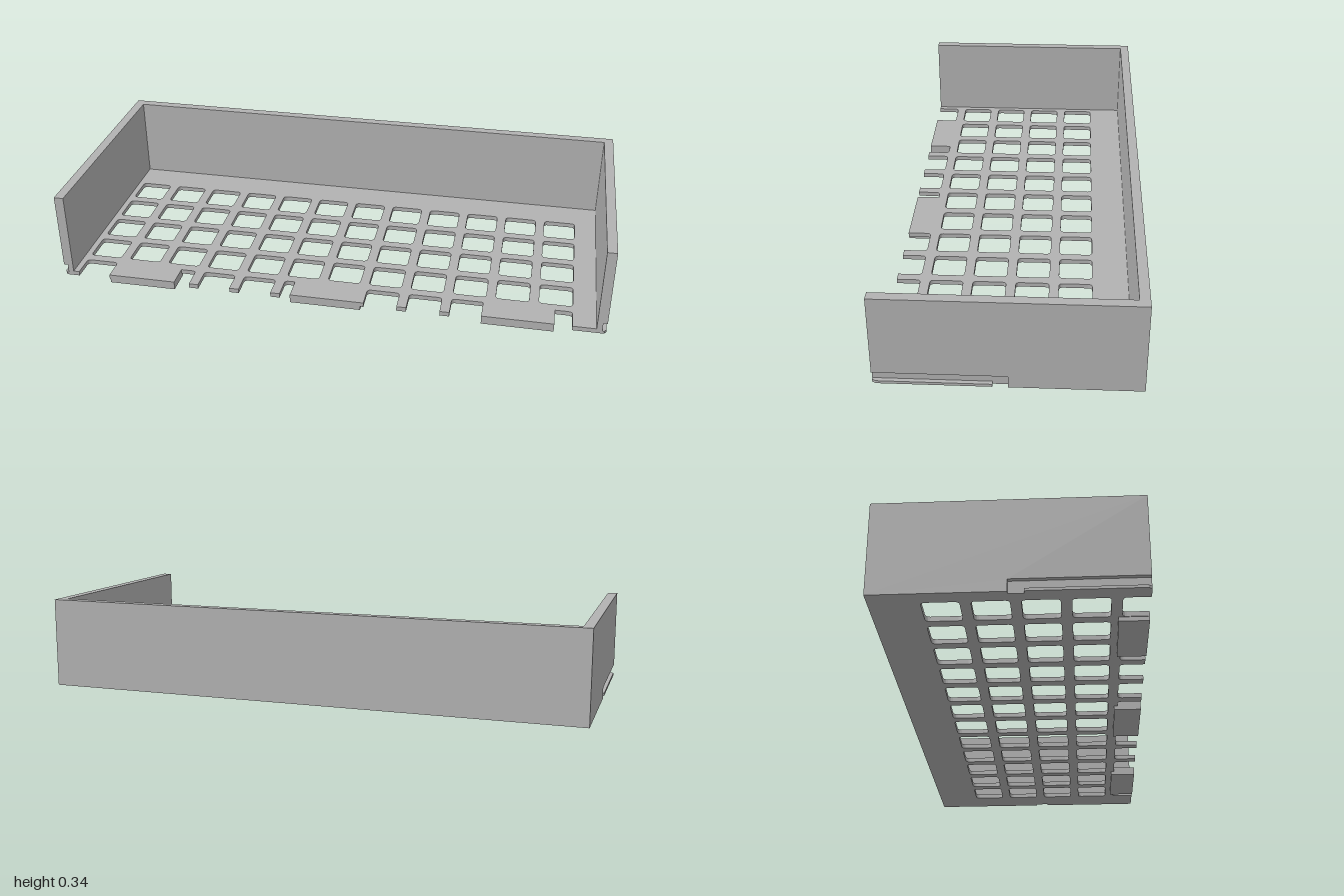
import * as THREE from 'three';

export function createModel() {
  const root = new THREE.Group();
  root.name = 'openTray';
  const grey = new THREE.MeshStandardMaterial({ color: 0xb2b2b2 });
  grey.name = 'plainGrey';

  const add = (name, geometry) => {
    const mesh = new THREE.Mesh(geometry, grey);
    mesh.name = name;
    root.add(mesh);
    return mesh;
  };
  // box given by its lower and upper limits on each axis
  const box = (name, x0, x1, y0, y1, z0, z1) => {
    const mesh = add(name, new THREE.BoxGeometry(x1 - x0, y1 - y0, z1 - z0));
    mesh.position.set((x0 + x1) / 2, (y0 + y1) / 2, (z0 + z1) / 2);
    return mesh;
  };

  const FRONT = 0.435, BASE = 0.015, FLOOR = 0.032, TOP = 0.345;
  const INNER = 0.965, GROOVE = 0.985;
  const COLS = 12, PITCH = 0.155, HOLE = 0.12, R = 0.015;
  const colX = i => -0.943 + i * PITCH;
  const rowZ = j => -0.271 + j * PITCH;

  // floor outline, with a row of open notches along the front edge
  const floor = new THREE.Shape();
  floor.moveTo(-INNER, -FRONT);
  floor.lineTo(INNER, -FRONT);
  floor.lineTo(INNER, FRONT);
  const notchZ = rowZ(4);
  for (let i = COLS - 1; i >= 0; i--) {
    const a = colX(i), b = a + HOLE;
    floor.lineTo(b, FRONT);
    floor.lineTo(b, notchZ + R);
    floor.quadraticCurveTo(b, notchZ, b - R, notchZ);
    floor.lineTo(a + R, notchZ);
    floor.quadraticCurveTo(a, notchZ, a, notchZ + R);
    floor.lineTo(a, FRONT);
  }
  floor.lineTo(-INNER, FRONT);
  floor.closePath();

  // grid of rounded square holes
  for (let j = 0; j < 4; j++) {
    for (let i = 0; i < COLS; i++) {
      const a = colX(i), b = a + HOLE, c = rowZ(j), d = c + HOLE;
      const hole = new THREE.Path();
      hole.moveTo(a + R, c);
      hole.lineTo(b - R, c);
      hole.quadraticCurveTo(b, c, b, c + R);
      hole.lineTo(b, d - R);
      hole.quadraticCurveTo(b, d, b - R, d);
      hole.lineTo(a + R, d);
      hole.quadraticCurveTo(a, d, a, d - R);
      hole.lineTo(a, c + R);
      hole.quadraticCurveTo(a, c, a + R, c);
      floor.holes.push(hole);
    }
  }
  const floorMesh = add('floorGrid', new THREE.ExtrudeGeometry(floor,
    { depth: FLOOR - BASE, bevelEnabled: false, curveSegments: 4 }));
  floorMesh.rotation.x = Math.PI / 2;
  floorMesh.position.y = FLOOR;

  // back wall
  box('backWall', -INNER, INNER, BASE, TOP, -FRONT, -0.4);

  // side walls: inner slab, outer skin with the rail groove cut out, and lip
  const skin = new THREE.Shape([
    [-FRONT, BASE], [0, BASE], [0, 0.058], [FRONT, 0.058], [FRONT, TOP], [-FRONT, TOP],
  ].map(([z, y]) => new THREE.Vector2(z, y)));
  const skinGeometry = new THREE.ExtrudeGeometry(skin, { depth: 1 - GROOVE, bevelEnabled: false });
  for (const [side, s] of [['left', 1], ['right', -1]]) {
    const x0 = s > 0 ? INNER : -GROOVE;
    box(side + 'WallInner', x0, x0 + GROOVE - INNER, BASE, TOP, -FRONT, FRONT);
    const outer = add(side + 'WallOuter', skinGeometry);
    outer.rotation.y = -Math.PI / 2;
    outer.position.x = s > 0 ? 1 : -GROOVE;
    // rail lip with a chamfered front corner
    const lip = new THREE.Shape();
    lip.moveTo(s * GROOVE, 0.05);
    lip.lineTo(s, 0.05);
    lip.lineTo(s, FRONT - 0.012);
    lip.lineTo(s * (1 - 0.008), FRONT);
    lip.lineTo(s * GROOVE, FRONT);
    lip.closePath();
    const lipMesh = add(side + 'RailLip',
      new THREE.ExtrudeGeometry(lip, { depth: 0.01, bevelEnabled: false }));
    lipMesh.rotation.x = Math.PI / 2;
    lipMesh.position.y = 0.025;
  }

  // front joining tabs: a plate under the floor, filling the notches above it
  [[-0.82, -0.57], [-0.13, 0.13], [0.565, 0.82]].forEach(([a, b], i) =>
    box('frontTab' + (i + 1), a, b, 0, FLOOR, 0.337, FRONT));

  return root;
}
